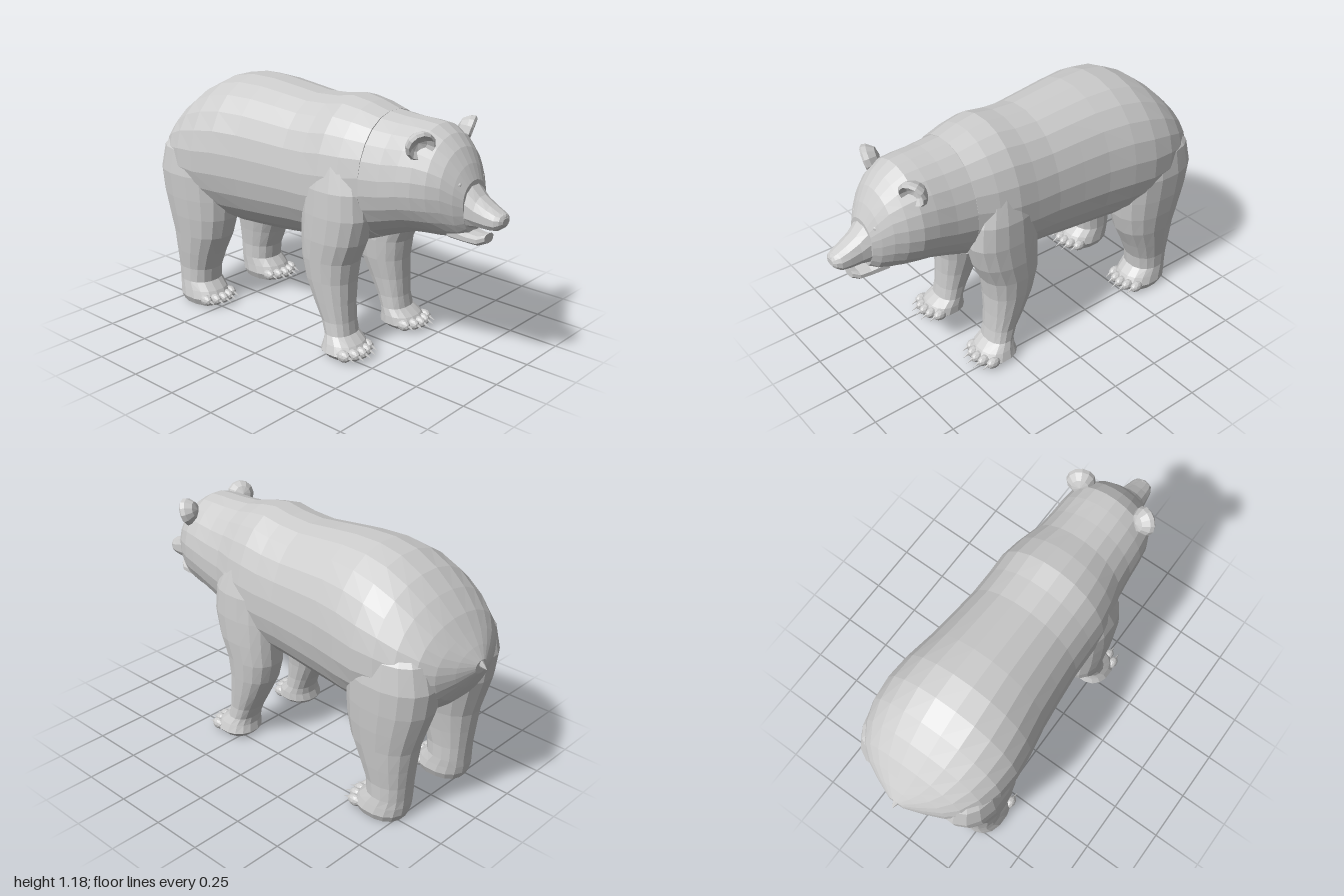
import * as THREE from 'three';

const fur = new THREE.MeshStandardMaterial({ color: 0xcccccc, flatShading: true, side: THREE.DoubleSide });

function part(parent, name, geometry) {
  const mesh = new THREE.Mesh(geometry, fur);
  mesh.name = name;
  parent.add(mesh);
  return mesh;
}

// Joins rings of points into a closed skin; the winding follows the sign of its volume.
function loft(rings) {
  const n = rings[0].length;
  const pos = rings.flat().flatMap((p) => p.toArray());
  const tris = [];
  for (let r = 0; r < rings.length - 1; r++) {
    for (let i = 0; i < n; i++) {
      const a = r * n + i, b = r * n + ((i + 1) % n);
      tris.push([a, b, b + n], [a, b + n, a + n]);
    }
  }
  [0, rings.length - 1].forEach((r, end) => {
    const c = new THREE.Vector3();
    rings[r].forEach((p) => c.addScaledVector(p, 1 / n));
    const centre = pos.length / 3;
    pos.push(c.x, c.y, c.z);
    for (let i = 0; i < n; i++) {
      const a = r * n + i, b = r * n + ((i + 1) % n);
      tris.push(end ? [a, b, centre] : [b, a, centre]);
    }
  });
  const at = (i) => new THREE.Vector3().fromArray(pos, i * 3);
  const volume = tris.reduce((v, [a, b, c]) => v + at(a).dot(at(b).cross(at(c))), 0);
  if (volume < 0) tris.forEach((t) => t.reverse());
  const geometry = new THREE.BufferGeometry();
  geometry.setAttribute('position', new THREE.Float32BufferAttribute(pos, 3));
  geometry.setIndex(tris.flat());
  geometry.computeVertexNormals();
  return geometry;
}

// Rounded outline, from an ellipse (power 1) towards a box (smaller power).
function outline(n, power, place) {
  return Array.from({ length: n }, (_, i) => {
    const a = ((i + 0.5) / n) * Math.PI * 2;
    const round = (v) => Math.sign(v) * Math.abs(v) ** power;
    return place(round(Math.cos(a)), round(Math.sin(a)));
  });
}

// Sections along z: [z, bottom, widest height, top, half width]
const alongZ = (rows, n, power) => loft(rows.map(([z, lo, mid, hi, w]) =>
  outline(n, power, (c, s) => new THREE.Vector3(c * w, mid + s * (s > 0 ? hi - mid : mid - lo), z))));

// Sections along y: [y, back, front, inner x, outer x]
const alongY = (rows, n, power, side) => loft(rows.map(([y, back, front, xi, xo]) =>
  outline(n, power, (c, s) => new THREE.Vector3(
    side * ((xi + xo) / 2 + (c * (xo - xi)) / 2), y, (back + front) / 2 + (s * (front - back)) / 2))));

const TRUNK = [
  [-0.965, 0.74, 0.77, 0.80, 0.04],
  [-0.93, 0.67, 0.76, 0.85, 0.13],
  [-0.89, 0.60, 0.76, 0.90, 0.215],
  [-0.84, 0.55, 0.77, 0.965, 0.28],
  [-0.76, 0.51, 0.78, 1.045, 0.33],
  [-0.67, 0.48, 0.79, 1.115, 0.357],
  [-0.56, 0.455, 0.79, 1.17, 0.365],
  [-0.44, 0.44, 0.80, 1.193, 0.352],
  [-0.30, 0.445, 0.80, 1.192, 0.327],
  [-0.16, 0.455, 0.80, 1.178, 0.312],
  [-0.02, 0.47, 0.80, 1.163, 0.30],
  [0.10, 0.48, 0.80, 1.17, 0.298],
  [0.20, 0.495, 0.81, 1.187, 0.298],
  [0.30, 0.52, 0.82, 1.172, 0.28],
  [0.40, 0.56, 0.84, 1.145, 0.25],
];
const HEAD = [
  [0.40, 0.56, 0.84, 1.145, 0.25],
  [0.50, 0.60, 0.85, 1.137, 0.238],
  [0.59, 0.63, 0.87, 1.135, 0.232],
  [0.66, 0.638, 0.88, 1.13, 0.222],
  [0.72, 0.64, 0.88, 1.095, 0.195],
  [0.77, 0.645, 0.875, 1.045, 0.16],
  [0.81, 0.65, 0.85, 0.98, 0.122],
  [0.84, 0.675, 0.83, 0.915, 0.085],
];
const MUZZLE = [
  [0.78, 0.69, 0.80, 0.93, 0.095],
  [0.84, 0.705, 0.79, 0.895, 0.08],
  [0.88, 0.715, 0.775, 0.855, 0.07],
  [0.93, 0.715, 0.765, 0.825, 0.062],
  [0.97, 0.72, 0.76, 0.805, 0.054],
  [0.99, 0.735, 0.765, 0.795, 0.042],
  [1.0, 0.75, 0.765, 0.78, 0.025],
];
const JAW = [
  [0.76, 0.645, 0.68, 0.72, 0.085],
  [0.84, 0.638, 0.665, 0.69, 0.065],
  [0.89, 0.636, 0.663, 0.685, 0.055],
  [0.92, 0.65, 0.675, 0.695, 0.035],
];
const FORELEG = [
  [1.02, 0.16, 0.28, 0.14, 0.20],
  [0.92, 0.11, 0.36, 0.10, 0.275],
  [0.80, 0.07, 0.41, 0.08, 0.308],
  [0.68, 0.06, 0.42, 0.08, 0.315],
  [0.56, 0.06, 0.39, 0.08, 0.316],
  [0.46, 0.06, 0.345, 0.08, 0.31],
  [0.36, 0.085, 0.33, 0.09, 0.303],
  [0.26, 0.135, 0.33, 0.108, 0.295],
  [0.17, 0.185, 0.335, 0.118, 0.287],
  [0.11, 0.21, 0.345, 0.118, 0.292],
  [0.075, 0.21, 0.39, 0.112, 0.31],
  [0.035, 0.20, 0.42, 0.11, 0.325],
  [0.012, 0.22, 0.40, 0.135, 0.305],
];
const HINDLEG = [
  [0.95, -0.75, -0.56, 0.14, 0.25],
  [0.82, -0.86, -0.48, 0.08, 0.345],
  [0.70, -0.89, -0.45, 0.05, 0.364],
  [0.58, -0.875, -0.45, 0.055, 0.36],
  [0.48, -0.845, -0.46, 0.075, 0.353],
  [0.38, -0.815, -0.485, 0.095, 0.343],
  [0.28, -0.80, -0.535, 0.11, 0.332],
  [0.19, -0.79, -0.572, 0.12, 0.32],
  [0.12, -0.785, -0.58, 0.12, 0.32],
  [0.08, -0.785, -0.54, 0.118, 0.328],
  [0.04, -0.78, -0.515, 0.115, 0.335],
  [0.006, -0.765, -0.53, 0.13, 0.32],
];

// Five toes with claws, fanned across the front of a paw.
function addToes(parent, name, side, x, z) {
  for (let i = -2; i <= 2; i++) {
    const tx = side * x + i * 0.041;
    const tz = z - Math.abs(i) ** 2 * 0.008;
    const toe = part(parent, name + 'Toe', new THREE.IcosahedronGeometry(0.027, 1));
    toe.scale.set(0.9, 1.05, 1.4);
    toe.position.set(tx, 0.042, tz);
    const claw = part(parent, name + 'Claw', new THREE.ConeGeometry(0.01, 0.055, 5));
    claw.rotation.x = Math.PI / 2 + 0.35;
    claw.position.set(tx, 0.04, tz + 0.042);
  }
}

export function createModel() {
  const bear = new THREE.Group();
  bear.name = 'bear';

  part(bear, 'trunk', alongZ(TRUNK, 24, 0.95));
  part(bear, 'neckAndHead', alongZ(HEAD, 24, 1));
  part(bear, 'muzzle', alongZ(MUZZLE, 12, 0.85));
  part(bear, 'lowerJaw', alongZ(JAW, 10, 0.85));

  // Nose pad
  const nose = part(bear, 'nose', new THREE.IcosahedronGeometry(0.03, 1));
  nose.scale.set(1.2, 0.8, 0.6);
  nose.position.set(0, 0.775, 0.982);

  // Stubby tail
  const tail = part(bear, 'tail', new THREE.ConeGeometry(0.045, 0.1, 8));
  tail.rotation.x = -2.0;
  tail.position.set(0, 0.785, -0.95);

  // Ear cup: domed back, thick rim, hollow front
  const earProfile = [[0, -0.045], [0.04, -0.035], [0.064, -0.005], [0.068, 0.015], [0.058, 0.025], [0.035, 0.0], [0, -0.012]]
    .map(([r, y]) => new THREE.Vector2(r, y));

  for (const side of [1, -1]) {
    const label = side > 0 ? 'left' : 'right';

    const ear = part(bear, label + 'Ear', new THREE.LatheGeometry(earProfile, 12));
    ear.quaternion.setFromUnitVectors(new THREE.Vector3(0, 1, 0),
      new THREE.Vector3(side * 0.45, -0.3, 0.85).normalize());
    ear.position.set(side * 0.172, 1.07, 0.67);

    const eye = part(bear, label + 'Eye', new THREE.IcosahedronGeometry(0.014, 1));
    eye.position.set(side * 0.082, 0.905, 0.812);

    part(bear, label + 'FrontLeg', alongY(FORELEG, 16, 0.88, side));
    part(bear, label + 'HindLeg', alongY(HINDLEG, 16, 0.88, side));
    addToes(bear, label + 'Front', side, 0.22, 0.405);
    addToes(bear, label + 'Hind', side, 0.225, -0.52);
  }
  return bear;
}
